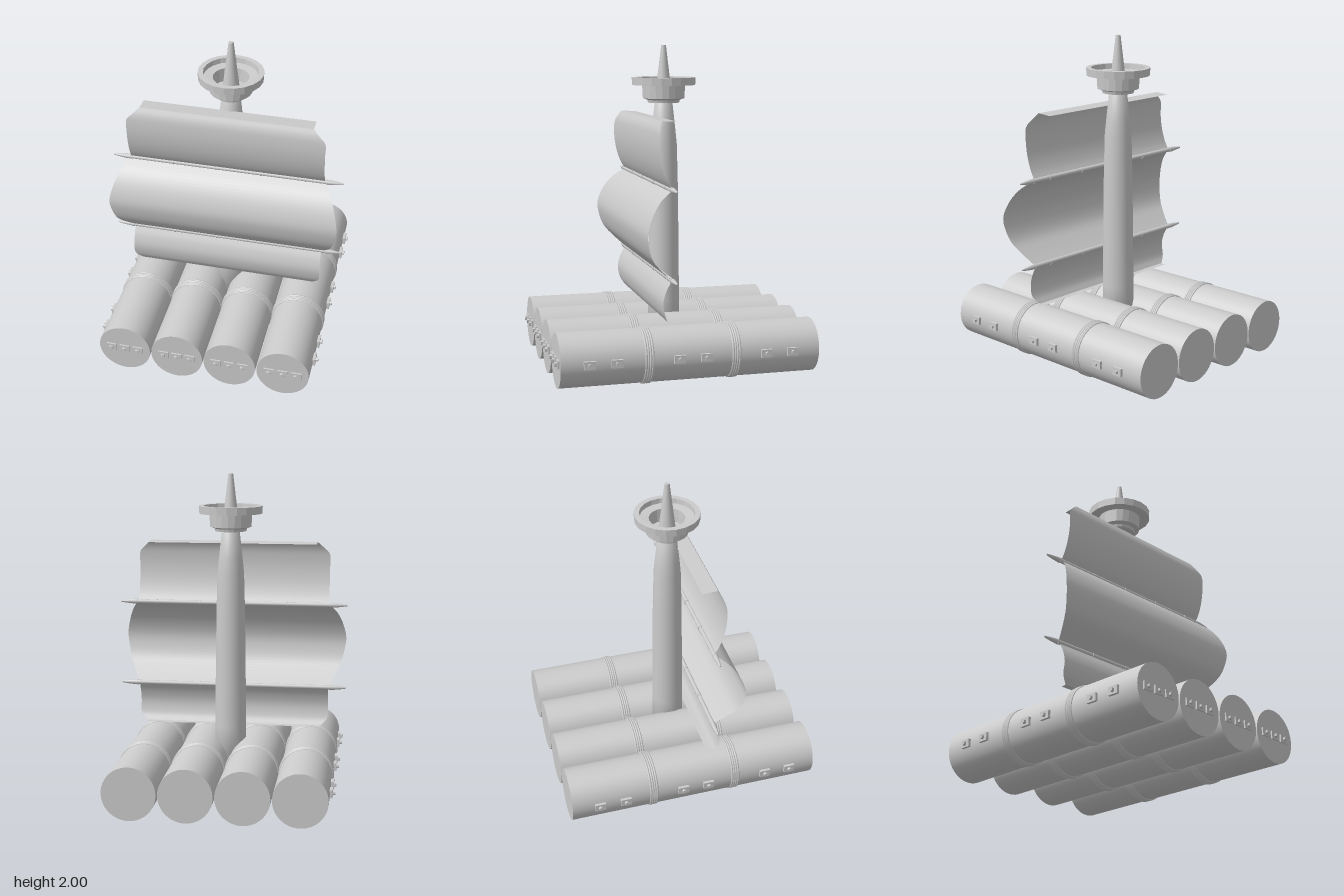
import * as THREE from 'three';

const grey = new THREE.MeshStandardMaterial({ color: 0xcccccc });
const flat = new THREE.MeshStandardMaterial({ color: 0xcccccc, flatShading: true });
const cloth = new THREE.MeshStandardMaterial({ color: 0xcccccc, side: THREE.DoubleSide });

function add(parent, name, geometry, material = grey, x = 0, y = 0, z = 0) {
  const mesh = new THREE.Mesh(geometry, material);
  mesh.name = name;
  mesh.position.set(x, y, z);
  parent.add(mesh);
  return mesh;
}

const lathe = (pts, sides) =>
  new THREE.LatheGeometry(pts.map(([r, y]) => new THREE.Vector2(r, y)), sides);

// Sheet stretched between mirrored edges; rows are [halfWidth, y, z], top to bottom
function sheet(rows, steps) {
  const curve = new THREE.CatmullRomCurve3(rows.map(r => new THREE.Vector3(...r)));
  const pos = [], index = [];
  for (let i = 0; i <= steps; i++) {
    const p = curve.getPoint(i / steps);
    pos.push(-p.x, p.y, p.z, p.x, p.y, p.z);
    if (i < steps) {
      const a = i * 2;
      index.push(a, a + 2, a + 1, a + 1, a + 2, a + 3);
    }
  }
  const g = new THREE.BufferGeometry();
  g.setAttribute('position', new THREE.Float32BufferAttribute(pos, 3));
  g.setIndex(index);
  g.computeVertexNormals();
  return g;
}

// Small plate with a faceted stud, facing +z
function fitting(width) {
  const g = new THREE.Group();
  g.name = 'fitting';
  add(g, 'plate', new THREE.BoxGeometry(width, 0.048, 0.03), flat);
  const stud = add(g, 'stud', new THREE.CylinderGeometry(0.014, 0.014, 0.016, 6), flat, 0, 0, 0.022);
  stud.rotation.x = Math.PI / 2;
  return g;
}

const LOG_Y = 0.172, LOG_R = 0.164, FRONT = 0.785, BACK = -0.8;

function makeRaft() {
  const raft = new THREE.Group();
  raft.name = 'raft';
  for (let i = 0; i < 4; i++) {
    const x = (i - 1.5) * 0.337;
    const log = add(raft, 'log', new THREE.CylinderGeometry(LOG_R, LOG_R, FRONT - BACK, 48),
      grey, x, LOG_Y, (FRONT + BACK) / 2);
    log.rotation.x = Math.PI / 2;
    // rope lashings
    for (const z of [0.257, -0.277])
      for (let k = 0; k < 4; k++)
        add(raft, 'lashing', new THREE.TorusGeometry(LOG_R, 0.0075, 8, 48),
          grey, x, LOG_Y, z + (k - 1.5) * 0.0135);
    // fittings on the front end
    for (const dx of [-0.085, 0, 0.085]) {
      const f = fitting(0.066);
      f.position.set(x + dx, LOG_Y + 0.003, FRONT - 0.005);
      raft.add(f);
    }
  }
  // fittings along the outer sides
  for (const side of [-1, 1])
    for (const z of [0.617, 0.453, 0.077, -0.088, -0.462, -0.627]) {
      const f = fitting(0.068);
      f.position.set(side * 0.67, LOG_Y + 0.003, z);
      f.rotation.y = side * Math.PI / 2;
      raft.add(f);
    }
  return raft;
}

function makeMast() {
  const mast = new THREE.Group();
  mast.name = 'mast';
  add(mast, 'mastPole', lathe([[0, 0.18], [0.1, 0.18], [0.099, 0.4], [0.095, 0.8],
    [0.09, 1.15], [0.084, 1.38], [0.075, 1.47], [0.054, 1.66], [0, 1.66]], 32));
  // hollow lookout basket with a wide rim
  add(mast, 'lookout', lathe([[0, 1.645], [0.098, 1.645], [0.102, 1.662], [0.13, 1.672],
    [0.135, 1.755], [0.198, 1.755], [0.2, 1.802], [0.168, 1.802], [0.165, 1.77],
    [0.11, 1.765], [0.105, 1.68], [0, 1.68]], 20), flat);
  add(mast, 'spike', new THREE.CylinderGeometry(0.015, 0.056, 0.34, 20), grey, 0, 1.83, 0);
  return mast;
}

function makeSail() {
  const sail = new THREE.Group();
  sail.name = 'sail';
  // folded hems along the top and bottom
  add(sail, 'topHem', sheet([[0.535, 1.56, 0.055], [0.535, 1.566, 0.15]], 2), cloth);
  add(sail, 'bottomHem', sheet([[0.57, 0.378, 0.125], [0.565, 0.376, 0.09]], 2), cloth);
  // three billowing panels
  add(sail, 'topPanel', sheet([[0.535, 1.566, 0.15], [0.575, 1.528, 0.17], [0.612, 1.488, 0.18],
    [0.614, 1.4, 0.183], [0.614, 1.3, 0.168], [0.614, 1.22, 0.14], [0.614, 1.17, 0.11]], 24), cloth);
  add(sail, 'middlePanel', sheet([[0.62, 1.17, 0.11], [0.665, 1.11, 0.19], [0.7, 1.03, 0.247],
    [0.722, 0.93, 0.28], [0.712, 0.85, 0.272], [0.69, 0.77, 0.242], [0.655, 0.7, 0.18],
    [0.62, 0.635, 0.11]], 32), cloth);
  add(sail, 'bottomPanel', sheet([[0.614, 0.635, 0.11], [0.614, 0.57, 0.145], [0.614, 0.5, 0.162],
    [0.612, 0.425, 0.15], [0.57, 0.378, 0.125]], 20), cloth);
  // spars with tapered tips and bindings
  for (const y of [1.17, 0.635]) {
    const spar = add(sail, 'spar', lathe([[0, -0.73], [0.005, -0.73], [0.011, -0.69],
      [0.016, -0.64], [0.014, -0.61], [0.014, 0.61], [0.016, 0.64], [0.011, 0.69],
      [0.005, 0.73], [0, 0.73]], 10), grey, 0, y, 0.11);
    spar.rotation.z = -Math.PI / 2;
    for (const x of [-0.625, -0.345, -0.065, 0.215, 0.495, 0.625]) {
      const band = add(sail, 'binding', new THREE.CylinderGeometry(0.017, 0.017, 0.008, 10),
        grey, x, y, 0.11);
      band.rotation.z = Math.PI / 2;
    }
  }
  return sail;
}

export function createModel() {
  const model = new THREE.Group();
  model.name = 'sailingRaft';
  model.add(makeRaft(), makeMast(), makeSail());
  return model;
}
